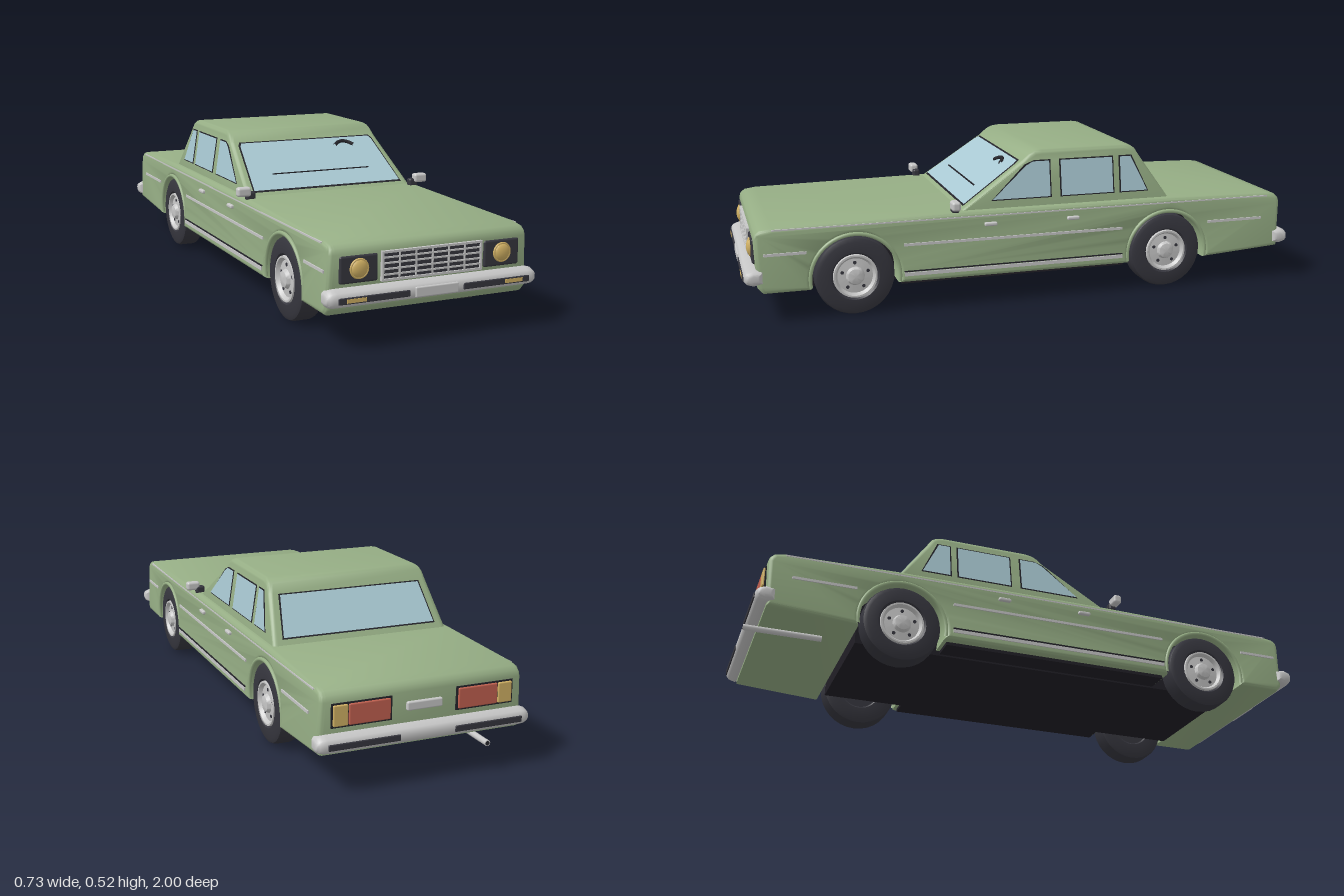
import * as THREE from 'three';
import { toCreasedNormals } from 'three/addons/utils/BufferGeometryUtils.js';
import { RoundedBoxGeometry } from 'three/addons/geometries/RoundedBoxGeometry.js';

const mat = (name, color, side = THREE.FrontSide) => {
  const m = new THREE.MeshStandardMaterial({ color, side });
  m.name = name;
  return m;
};

export function createModel() {
  const car = new THREE.Group();
  car.name = 'sedan';
  const paint = mat('greenPaint', 0x96ae85);
  const chrome = mat('chrome', 0xc6c6c6);
  const rubber = mat('darkRubber', 0x36363e);
  const floorMat = mat('underbody', 0x211f26);
  const glass = mat('glass', 0xa8c8d2, THREE.DoubleSide);
  const trim = mat('blackTrim', 0x24242a, THREE.DoubleSide);
  const amber = mat('amberLamp', 0xd0b063);
  const red = mat('redLamp', 0xc0604f);

  const add = (name, geo, material, x = 0, y = 0, z = 0, parent = car) => {
    const m = new THREE.Mesh(geo, material);
    m.name = name;
    m.position.set(x, y, z);
    parent.add(m);
    return m;
  };
  const box = (name, w, h, d, material, x, y, z) =>
    add(name, new THREE.BoxGeometry(w, h, d), material, x, y, z);
  const rbox = (name, w, h, d, r, material, x, y, z) =>
    add(name, new RoundedBoxGeometry(w, h, d, 3, r), material, x, y, z);

  // Extrudes a (z, y) side profile across x, with rounded edges and a width rule
  const across = (shape, half, bevel, bevelSize, widthAt = () => 1) => {
    const g = new THREE.ExtrudeGeometry(shape, {
      depth: 2 * (half - bevel), bevelThickness: bevel, bevelSize, bevelOffset: -bevelSize,
      bevelSegments: 4, curveSegments: 20,
    });
    g.translate(0, 0, -(half - bevel));
    g.rotateY(-Math.PI / 2);
    const p = g.attributes.position;
    for (let i = 0; i < p.count; i++) p.setX(i, p.getX(i) * widthAt(p.getY(i)));
    return toCreasedNormals(g, 0.7);
  };
  const polygon = (pts) => new THREE.Shape(pts.map(([a, b]) => new THREE.Vector2(a, b)));

  // Lower body with wheel arches
  const bodyWidth = (y) => 1 - 0.15 * (y - 0.1);
  const bodyX = (y) => 0.35 * bodyWidth(y);
  const axles = [0.63, -0.5];
  const body = new THREE.Shape();
  body.moveTo(-0.93, 0.1);
  for (const z of [...axles].reverse()) body.absarc(z, 0.13, 0.15, Math.PI + 0.2, -0.2, true);
  for (const [z, y] of [[0.935, 0.1], [0.953, 0.12], [0.96, 0.285], [0.955, 0.302], [0.94, 0.314],
    [0.9, 0.32], [0.27, 0.33], [-0.52, 0.33], [-0.9, 0.322], [-0.935, 0.316], [-0.95, 0.302],
    [-0.955, 0.285], [-0.948, 0.12]]) body.lineTo(z, y);
  add('body', across(body, 0.35, 0.018, 0.016, bodyWidth), paint);

  // Underbody
  box('underbody', 0.48, 0.215, 1.4, floorMat, 0, 0.1905, 0.065);
  box('floorPan', 0.64, 0.02, 0.81, floorMat, 0, 0.099, 0.065);

  // Cabin
  const cabinWidth = (y) => 1 - 0.5 * (y - 0.32);
  const cabin = polygon([[0.27, 0.32], [0.03, 0.485], [0.005, 0.508], [-0.015, 0.519], [-0.04, 0.523],
    [-0.35, 0.523], [-0.375, 0.519], [-0.392, 0.508], [-0.41, 0.48], [-0.52, 0.32]].reverse());
  add('cabin', across(cabin, 0.318, 0.018, 0.016, cabinWidth), paint);

  // Windows: thin faces laid on the cabin, each over a slightly larger black seal
  const panel = (name, pts, place, material) => {
    const g = new THREE.ShapeGeometry(polygon(pts));
    const p = g.attributes.position;
    for (let i = 0; i < p.count; i++) p.setXYZ(i, ...place(p.getX(i), p.getY(i)));
    g.computeVertexNormals();
    add(name, g, material);
  };
  const windowPane = (name, pts, place) => {
    const cx = pts.reduce((s, p) => s + p[0], 0) / pts.length;
    const cy = pts.reduce((s, p) => s + p[1], 0) / pts.length;
    const grown = pts.map(([a, b]) => [a + 0.005 * Math.sign(a - cx), b + 0.004 * Math.sign(b - cy)]);
    panel(name + 'Seal', grown, place(0.002), trim);
    panel(name, pts, place(0.004), glass);
  };
  const frontZ = (y) => 0.27 - (y - 0.32) * 0.24 / 0.165;
  const rearZ = (y) => -0.52 + (y - 0.32) * 0.11 / 0.16;
  windowPane('windshield', [[-0.284, 0.342], [0.284, 0.342], [0.263, 0.47], [0.255, 0.479], [-0.255, 0.479], [-0.263, 0.47]],
    (o) => (x, y) => [x, y + o * 0.8, frontZ(y) + o * 0.6]);
  windowPane('rearWindow', [[-0.275, 0.35], [0.275, 0.35], [0.255, 0.473], [-0.255, 0.473]],
    (o) => (x, y) => [x, y + o * 0.5, rearZ(y) - o * 0.8]);
  const sideWindows = {
    frontDoorWindow: [[0.145, 0.36], [-0.065, 0.36], [-0.065, 0.483], [-0.005, 0.483], [0.02, 0.47]],
    rearDoorWindow: [[-0.107, 0.36], [-0.3, 0.36], [-0.3, 0.483], [-0.107, 0.483]],
    quarterWindow: [[-0.33, 0.36], [-0.43, 0.36], [-0.37, 0.483], [-0.33, 0.483]],
  };

  // Wiper and inside mirror on the windshield
  box('wiper', 0.38, 0.004, 0.006, trim, 0, 0.388, frontZ(0.388) + 0.006);
  const arc = new THREE.CatmullRomCurve3([[0.1, 0.459], [0.12, 0.468], [0.138, 0.471], [0.156, 0.468], [0.176, 0.459]]
    .map(([x, y]) => new THREE.Vector3(x, y, frontZ(y) + 0.01)));
  add('viewMirror', new THREE.TubeGeometry(arc, 16, 0.007, 8), trim);

  // Wheel profiles: radius, distance along axle
  const lathe = (pts) => {
    const g = new THREE.LatheGeometry(pts.map(([r, a]) => new THREE.Vector2(r, a)), 32);
    g.rotateZ(-Math.PI / 2);
    return toCreasedNormals(g, 0.6);
  };
  const tyreGeo = lathe([[0, -0.036], [0.07, -0.036], [0.075, -0.04], [0.118, -0.04], [0.131, -0.034],
    [0.135, -0.024], [0.135, 0.024], [0.131, 0.034], [0.118, 0.04], [0.082, 0.04], [0.07, 0.025]]);
  const rimGeo = lathe([[0.076, 0.03], [0.074, 0.041], [0.068, 0.041], [0.06, 0.029], [0.032, 0.032],
    [0.026, 0.044], [0.015, 0.047], [0, 0.048]]);
  const holeGeo = new THREE.CylinderGeometry(0.006, 0.006, 0.006, 10).rotateZ(Math.PI / 2);
  const lipGeo = new THREE.TorusGeometry(0.152, 0.007, 8, 28, Math.PI + 0.3).rotateZ(-0.15).rotateY(Math.PI / 2);

  for (const s of [1, -1]) {
    for (const [name, pts] of Object.entries(sideWindows))
      windowPane(name, pts, (o) => (z, y) => [s * (0.318 * cabinWidth(y) + o), y, z]);

    for (const z of axles) {
      const wheel = new THREE.Group();
      wheel.name = z > 0 ? 'frontWheel' : 'rearWheel';
      wheel.position.set(s * 0.3, 0.135, z);
      if (s < 0) wheel.rotation.y = Math.PI;
      add('tyre', tyreGeo, rubber, 0, 0, 0, wheel);
      add('rim', rimGeo, chrome, 0, 0, 0, wheel);
      for (let i = 0; i < 5; i++) {
        const a = i * Math.PI * 0.4 + 0.3;
        add('rimHole', holeGeo, rubber, 0.0295, 0.046 * Math.sin(a), 0.046 * Math.cos(a), wheel);
      }
      car.add(wheel);
      add('archLip', lipGeo, paint, s * 0.341, 0.13, z);
    }

    // Side mouldings: z start, z end, y, height
    for (const [a, b, y, h] of [[0.465, -0.325, 0.232, 0.009], [0.465, -0.325, 0.13, 0.012],
      [0.93, 0.79, 0.232, 0.009], [-0.66, -0.875, 0.232, 0.009], [0.9, -0.9, 0.312, 0.005]])
      box('sideMoulding', 0.008, h, a - b, chrome, s * (bodyX(y) - (y > 0.3 ? 0.003 : 0)), y, (a + b) / 2);
    box('mouldingShadow', 0.008, 0.004, 0.79, trim, s * bodyX(0.14), 0.14, 0.07);
    for (const z of [0.16, -0.14]) rbox('doorHandle', 0.018, 0.013, 0.045, 0.005, chrome, s * 0.342, 0.283, z);

    // Door mirrors
    rbox('mirrorBase', 0.034, 0.03, 0.026, 0.008, rubber, s * 0.316, 0.339, 0.28);
    rbox('mirror', 0.05, 0.032, 0.03, 0.009, chrome, s * 0.342, 0.355, 0.285);

    // Headlights
    rbox('headlightPanel', 0.126, 0.084, 0.016, 0.007, rubber, s * 0.246, 0.238, 0.957);
    add('headlightRim', new THREE.TorusGeometry(0.028, 0.004, 8, 24), amber, s * 0.246, 0.24, 0.966);
    add('headlight', new THREE.SphereGeometry(0.028, 24, 12).scale(1, 1, 0.45), amber, s * 0.246, 0.24, 0.965);

    // Tail lights
    box('tailLightFrame', 0.198, 0.076, 0.008, trim, s * 0.208, 0.242, -0.954);
    rbox('tailLight', 0.136, 0.066, 0.016, 0.004, red, s * 0.183, 0.242, -0.956);
    rbox('tailIndicator', 0.048, 0.066, 0.016, 0.004, amber, s * 0.278, 0.242, -0.956);

    // Bumper inserts and front indicators
    rbox('frontBumperInsert', 0.235, 0.02, 0.008, 0.003, rubber, s * 0.21, 0.156, 0.996);
    box('frontIndicator', 0.064, 0.012, 0.006, amber, s * 0.27, 0.156, 0.9985);
    rbox('rearBumperInsert', 0.235, 0.02, 0.008, 0.003, rubber, s * 0.21, 0.156, -0.986);
  }

  // Grille
  rbox('grille', 0.34, 0.09, 0.012, 0.004, rubber, 0, 0.238, 0.958);
  for (const y of [0.196, 0.281]) box('grilleFrame', 0.345, 0.007, 0.014, chrome, 0, y, 0.963);
  for (const x of [-0.169, 0.169]) box('grilleFrame', 0.006, 0.085, 0.014, chrome, x, 0.238, 0.963);
  for (const y of [0.212, 0.229, 0.247, 0.264]) box('grilleBar', 0.335, 0.005, 0.008, chrome, 0, y, 0.965);
  for (let i = -2; i <= 2; i++) box('grillePost', 0.005, 0.08, 0.008, chrome, i * 0.056, 0.238, 0.964);

  // Bumpers
  const section = [[0.932, 0.136], [0.965, 0.128], [0.988, 0.136], [0.996, 0.146], [0.996, 0.168],
    [0.988, 0.178], [0.965, 0.187], [0.932, 0.18]];
  const bumperGeo = across(polygon(section), 0.361, 0.034, 0.018);
  add('frontBumper', bumperGeo, chrome);
  add('rearBumper', bumperGeo, chrome, 0, 0, 0.01).rotation.y = Math.PI;
  rbox('frontPlate', 0.148, 0.032, 0.01, 0.004, chrome, 0, 0.156, 0.995);
  rbox('bootHandle', 0.12, 0.028, 0.016, 0.005, chrome, 0, 0.24, -0.956);

  // Exhaust
  add('exhaust', new THREE.CylinderGeometry(0.01, 0.01, 0.26, 14).rotateX(Math.PI / 2), chrome, -0.2, 0.098, -0.87);
  add('exhaustBore', new THREE.CircleGeometry(0.007, 14).rotateY(Math.PI), trim, -0.2, 0.098, -1.0005);
  return car;
}
